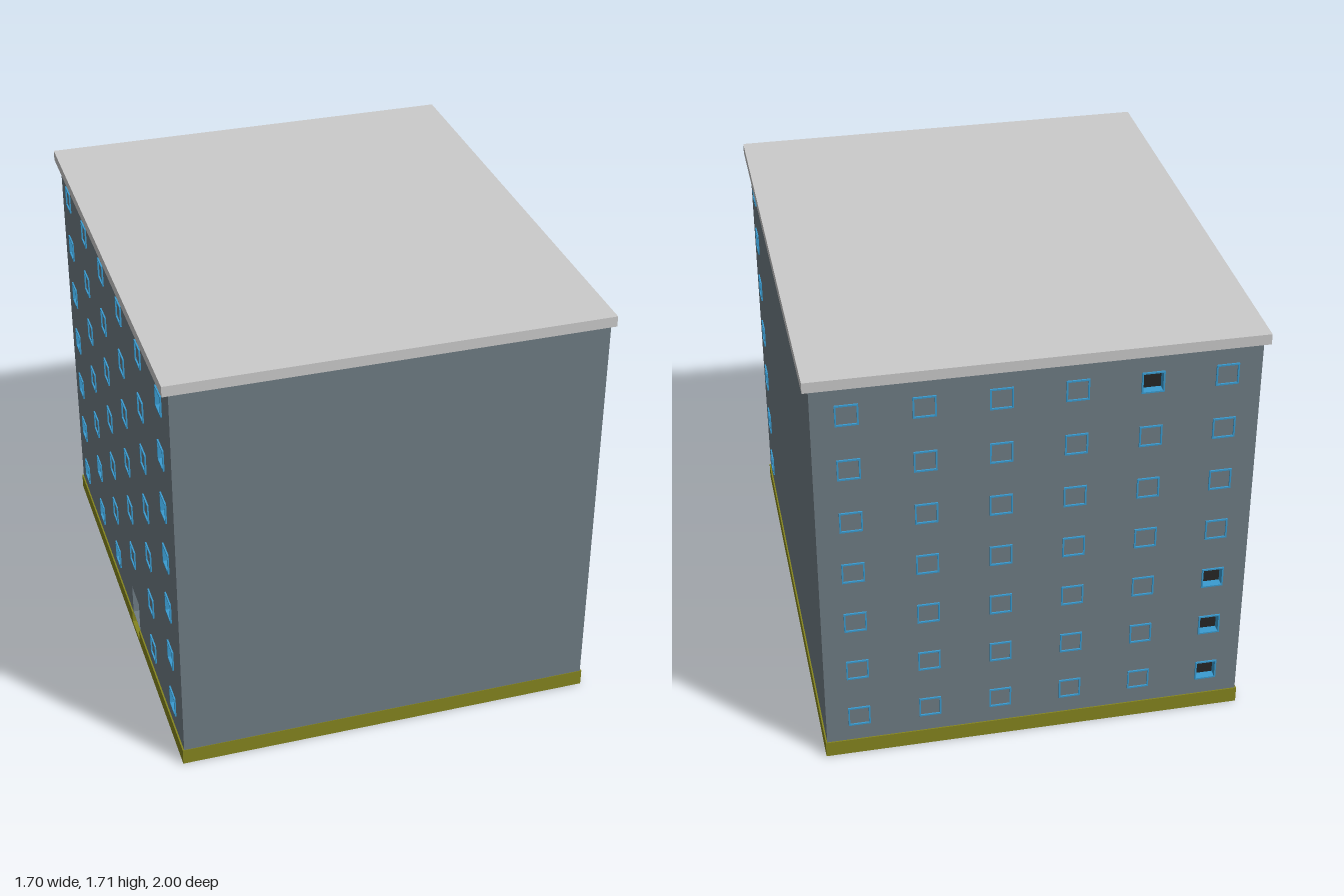
import * as THREE from 'three';

const mat = (color) => new THREE.MeshStandardMaterial({ color });
const wallMat = mat(0x6f7c84), plinthMat = mat(0x85851f), frameMat = mat(0x3a9bd0);
const paneMat = mat(0x262626), roofMat = mat(0xcccccc);

const HX = 0.825, BACK = -0.985, FRONT = 1;      // wall planes
const BOTTOM = 0.066, TOP = 1.67, THICK = 0.03;
const WIN = 0.08, ROWS = 7;
const rowY = (r) => 0.182 + r * 0.229;
const DOOR = { z: 0.16, w: 0.13, h: 0.2, depth: 0.1 };

function rect(path, x0, y0, x1, y1) {
  path.moveTo(x0, y0);
  path.lineTo(x1, y0);
  path.lineTo(x1, y1);
  path.lineTo(x0, y1);
  path.closePath();
  return path;
}

function add(parent, name, geometry, material, x = 0, y = 0, z = 0) {
  const mesh = new THREE.Mesh(geometry, material);
  mesh.name = name;
  mesh.position.set(x, y, z);
  parent.add(mesh);
  return mesh;
}

// Thin window surround, seated through the wall and slightly proud of it
const half = WIN / 2;
const frameShape = rect(new THREE.Shape(), -half - 0.003, -half - 0.003, half + 0.003, half + 0.003);
frameShape.holes.push(rect(new THREE.Path(), -half + 0.003, -half + 0.003, half - 0.003, half - 0.003));
const frameGeo = new THREE.ExtrudeGeometry(frameShape, { depth: THICK + 0.006, bevelEnabled: false });
const paneGeo = new THREE.BoxGeometry(WIN, WIN, 0.006);

// Wall in local coordinates: outer face at z = 0, u runs along x.
// windows: [u, row, open]; open ones are cut through, the others only framed.
function wall(name, u0, u1, windows, door) {
  const group = new THREE.Group();
  group.name = name;
  const shape = rect(new THREE.Shape(), u0, BOTTOM, u1, TOP);
  for (const [u, r, open] of windows) {
    const y = rowY(r);
    if (open) {
      shape.holes.push(rect(new THREE.Path(), u - half, y - half, u + half, y + half));
      add(group, 'windowPane', paneGeo, paneMat, u, y, -THICK);
    }
    add(group, 'windowFrame', frameGeo, frameMat, u, y, -THICK);
  }
  if (door) {
    shape.holes.push(rect(new THREE.Path(), door.z - door.w / 2, BOTTOM + 0.001, door.z + door.w / 2, door.h));
  }
  const geo = new THREE.ExtrudeGeometry(shape, { depth: THICK, bevelEnabled: false });
  add(group, 'wallPanel', geo, wallMat, 0, 0, -THICK);
  return group;
}

export function createModel() {
  const model = new THREE.Group();
  model.name = 'apartmentBlock';

  // Plinth, with a notch for the entrance on the right side
  const px = 0.831, pz0 = -0.99, n0 = DOOR.z - DOOR.w / 2, n1 = DOOR.z + DOOR.w / 2;
  const plan = new THREE.Shape([
    [-px, -FRONT], [px, -FRONT], [px, -pz0], [-px, -pz0],
    [-px, -n0], [-px + DOOR.depth, -n0], [-px + DOOR.depth, -n1], [-px, -n1],
  ].map(([x, y]) => new THREE.Vector2(x, y)));
  const plinthGeo = new THREE.ExtrudeGeometry(plan, { depth: BOTTOM, bevelEnabled: false });
  plinthGeo.rotateX(-Math.PI / 2);
  add(model, 'plinth', plinthGeo, plinthMat);

  // Entrance steps rising into the notch
  for (let i = 0; i < 4; i++) {
    const run = DOOR.depth * (1 - i / 4), h = BOTTOM / 4;
    add(model, 'entranceStep', new THREE.BoxGeometry(run, h, DOOR.w), plinthMat,
      -px + DOOR.depth - run / 2, h * (i + 0.5), DOOR.z);
  }

  // Entrance recess lining
  const dh = DOOR.h - BOTTOM, dy = (DOOR.h + BOTTOM) / 2, dx = -HX + DOOR.depth / 2;
  add(model, 'entranceDoor', new THREE.BoxGeometry(0.01, dh, DOOR.w), wallMat, -HX + DOOR.depth, dy, DOOR.z);
  add(model, 'entranceCeiling', new THREE.BoxGeometry(DOOR.depth, 0.01, DOOR.w), wallMat, dx, DOOR.h + 0.005, DOOR.z);
  for (const s of [-1, 1]) {
    add(model, 'entranceSide', new THREE.BoxGeometry(DOOR.depth, dh, 0.01), wallMat,
      dx, dy, DOOR.z + s * (DOOR.w / 2 + 0.005));
  }

  // Front: blank wall
  const front = wall('frontWall', -HX, HX, []);
  front.position.z = FRONT - 0.002;
  model.add(front);

  // Left side: a single column of open windows near the front
  const leftWindows = [];
  for (let r = 0; r < ROWS; r++) leftWindows.push([-0.838, r, true]);
  const left = wall('leftWall', -FRONT + 0.002, -BACK, leftWindows);
  left.rotation.y = Math.PI / 2;
  left.position.x = HX;
  model.add(left);

  // Right side: six columns; number of open rows per column from the ground
  const openRight = [6, 2, 1, 0, 0, 7], rightWindows = [];
  openRight.forEach((count, c) => {
    for (let r = 0; r < ROWS; r++) {
      if (c === 3 && r === 0) continue; // entrance takes this place
      rightWindows.push([-0.838 + c * 0.3352, r, r < count]);
    }
  });
  const right = wall('rightWall', BACK, FRONT - 0.002, rightWindows, DOOR);
  right.rotation.y = -Math.PI / 2;
  right.position.x = -HX;
  model.add(right);

  // Back: six columns, a few windows open
  const backWindows = [];
  for (let c = 0; c < 6; c++) {
    for (let r = 0; r < ROWS; r++) {
      const open = (c === 5 && r < 3) || (c === 4 && r === 6);
      backWindows.push([-0.695 + c * 0.278, r, open]);
    }
  }
  const back = wall('backWall', -HX, HX, backWindows);
  back.rotation.y = Math.PI;
  back.position.z = BACK;
  model.add(back);

  // Flat overhanging roof slab
  add(model, 'roof', new THREE.BoxGeometry(1.696, 0.042, 2), roofMat, 0, TOP + 0.021, 0);
  return model;
}
